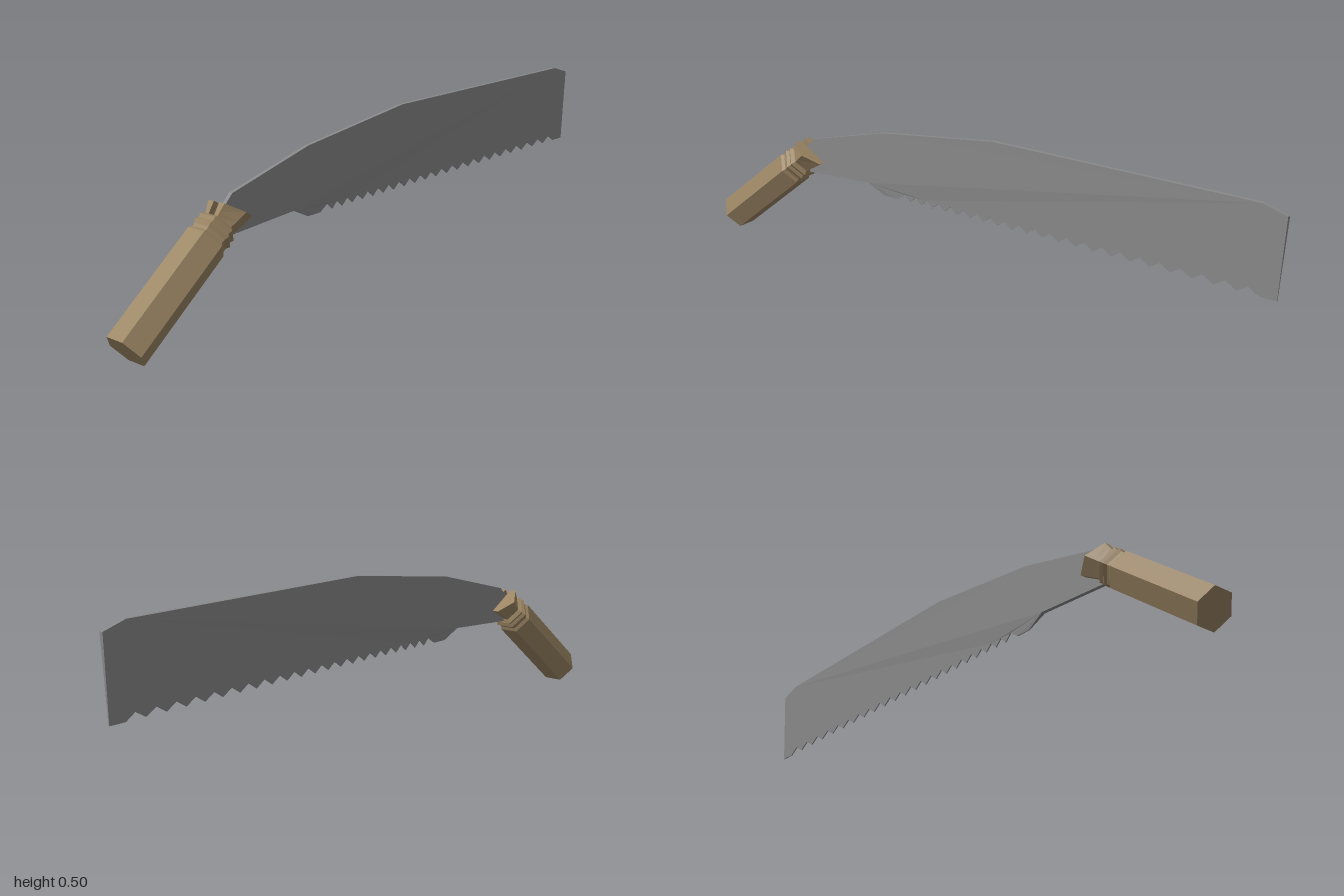
import * as THREE from 'three';

const HEX = [30, 90, 150, 210, 270, 330].map((d) => {
  const a = THREE.MathUtils.degToRad(d);
  return [0.06 * Math.cos(a), 0.06 * Math.sin(a)];
});
const PRONG = [[0.052, 0.01], [0.052, 0.03], [0, 0.06], [-0.052, 0.03], [-0.052, 0.01]];

// Lofts a (y, z) section along x through rings of [x, scale, slant], capped at both ends
function loft(section, rings) {
  const pos = [];
  const at = ([x, r, slant = 0], [y, z]) => {
    const inner = Math.abs(z) <= 0.0101; // slot walls stay flat
    return [x - slant * y, y * r, inner ? z : z * r];
  };
  const n = section.length;
  for (let i = 0; i < rings.length - 1; i++) {
    for (let j = 0; j < n; j++) {
      const k = (j + 1) % n;
      const a = at(rings[i], section[j]), b = at(rings[i], section[k]);
      const c = at(rings[i + 1], section[k]), d = at(rings[i + 1], section[j]);
      pos.push(...a, ...b, ...c, ...a, ...c, ...d);
    }
  }
  const first = rings[0], last = rings[rings.length - 1];
  for (let j = 1; j < n - 1; j++) {
    pos.push(...at(first, section[0]), ...at(first, section[j + 1]), ...at(first, section[j]));
    pos.push(...at(last, section[0]), ...at(last, section[j]), ...at(last, section[j + 1]));
  }
  const geo = new THREE.BufferGeometry();
  geo.setAttribute('position', new THREE.Float32BufferAttribute(pos, 3));
  geo.computeVertexNormals();
  return geo;
}

function bladeGeometry() {
  const outline = [
    [-0.65, 0.255], [-0.68, 0.29], [-0.6, 0.37], [-0.31, 0.445], [0.1, 0.498],
    [0.93, 0.498], [1, 0.477], [0.99, 0.242], [0.94, 0.242], [0.91, 0.262],
  ];
  // teeth, getting finer towards the handle
  const teeth = 21, length = 1.14;
  let x = 0.91;
  for (let i = 0; i < teeth; i++) {
    const pitch = (length / teeth) * (1.22 - (0.44 * i) / (teeth - 1));
    outline.push([x - pitch / 2, 0.242], [x - pitch, 0.262]);
    x -= pitch;
  }
  outline.push([-0.26, 0.242], [-0.31, 0.242], [-0.37, 0.272]);

  const shape = new THREE.Shape(outline.map(([px, py]) => new THREE.Vector2(px, py)));
  let geo = new THREE.ExtrudeGeometry(shape, { depth: 2, bevelEnabled: false });
  geo.translate(0, 0, -1);
  if (geo.index) geo = geo.toNonIndexed();
  // full thickness on the spine and tang, thinning towards the teeth
  const p = geo.attributes.position;
  for (let i = 0; i < p.count; i++) {
    const t = p.getX(i) < -0.35 ? 1 : THREE.MathUtils.clamp((p.getY(i) - 0.242) / 0.23, 0, 1);
    p.setZ(i, p.getZ(i) * (0.0015 + 0.0045 * t));
  }
  geo.computeVertexNormals();
  return geo;
}

export function createModel() {
  const steel = new THREE.MeshStandardMaterial({ color: 0x888888 });
  steel.name = 'steel';
  const wood = new THREE.MeshStandardMaterial({ color: 0x9a8462 });
  wood.name = 'wood';

  const model = new THREE.Group();
  model.name = 'handSaw';
  const add = (parent, name, geo, mat) => {
    const mesh = new THREE.Mesh(geo, mat);
    mesh.name = name;
    parent.add(mesh);
  };

  add(model, 'blade', bladeGeometry(), steel);

  // Angled hexagonal handle, built along its own x axis
  const handle = new THREE.Group();
  handle.name = 'handle';
  handle.position.set(-0.968, 0.041, 0);
  handle.rotation.z = THREE.MathUtils.degToRad(38.2);
  model.add(handle);

  // grip with grooved collars
  add(handle, 'grip', loft(HEX, [
    [0, 1], [0.352, 1], [0.362, 0.88], [0.372, 0.9], [0.382, 1],
    [0.392, 0.88], [0.402, 0.96], [0.412, 0.76],
  ]), wood);

  // two flared prongs clasping the blade
  const prongRings = [[0.408, 0.75], [0.43, 0.85, 0.15], [0.466, 1, 0.4]];
  add(handle, 'leftProng', loft(PRONG, prongRings), wood);
  const mirrored = PRONG.map(([y, z]) => [y, -z]).reverse();
  add(handle, 'rightProng', loft(mirrored, prongRings), wood);

  return model;
}
